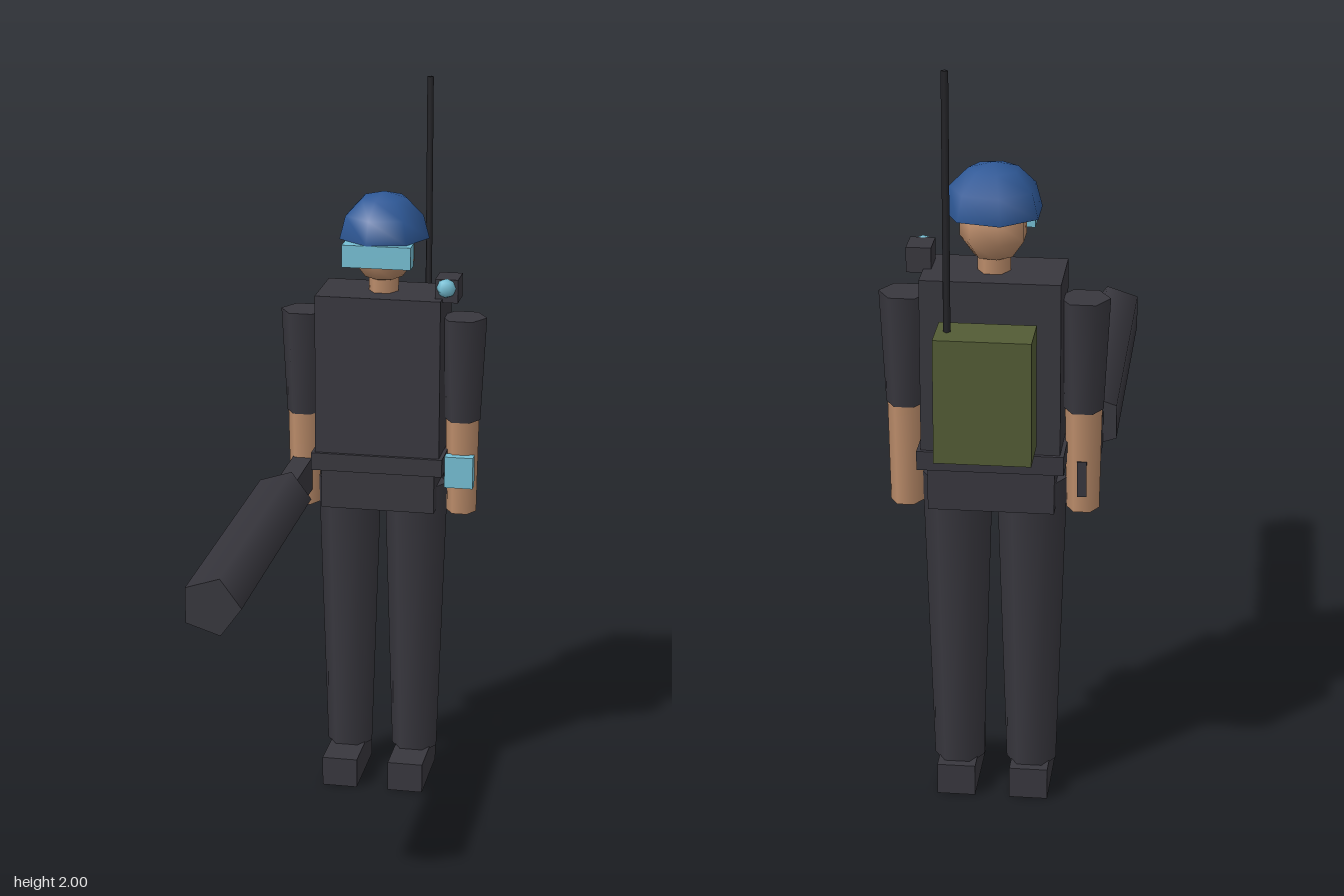
import * as THREE from 'three';

const mat = (name, color, extra = {}) => {
  const m = new THREE.MeshStandardMaterial({ color, ...extra });
  m.name = name;
  return m;
};

export function createModel() {
  const model = new THREE.Group();
  model.name = 'soldier';
  const suit = mat('charcoal suit', 0x38373e);
  const skin = mat('skin', 0xbb8c6a);
  const blue = mat('helmet blue', 0x2e5896, { side: THREE.DoubleSide });
  const cyan = mat('device cyan', 0x76bfd4);
  const olive = mat('pack olive', 0x535c35);
  const black = mat('antenna black', 0x242428);
  const Z = -0.435; // body centre line

  const add = (name, geometry, material, x, y, z) => {
    const mesh = new THREE.Mesh(geometry, material);
    mesh.name = name;
    mesh.position.set(x, y, z);
    model.add(mesh);
    return mesh;
  };
  // box given by its low and high corners
  const box = (name, material, [x0, y0, z0], [x1, y1, z1]) =>
    add(name, new THREE.BoxGeometry(x1 - x0, y1 - y0, z1 - z0), material,
      (x0 + x1) / 2, (y0 + y1) / 2, (z0 + z1) / 2);
  // upright tapered limb with a corner pointing to +x
  const limb = (name, material, x, z, y0, y1, rBottom, rTop, sides = 6) =>
    add(name, new THREE.CylinderGeometry(rTop, rBottom, y1 - y0, sides, 1, false, Math.PI / 2),
      material, x, (y0 + y1) / 2, z);

  // Body
  box('torso', suit, [-0.175, 0.98, -0.535], [0.175, 1.44, -0.335]);
  box('belt', suit, [-0.185, 0.94, -0.545], [0.185, 0.99, -0.325]);
  box('pelvis', suit, [-0.16, 0.825, -0.525], [0.16, 0.945, -0.345]);

  // Limbs, mirrored
  for (const [side, s] of [['left', 1], ['right', -1]]) {
    limb(side + 'Leg', suit, s * 0.095, Z, 0.08, 0.89, 0.065, 0.09);
    box(side + 'Boot', suit, [s * 0.095 - 0.05, 0, -0.515], [s * 0.095 + 0.05, 0.085, -0.275]);
    limb(side + 'UpperArm', suit, s * 0.225, Z, 1.08, 1.375, 0.05, 0.065);
    limb(side + 'Forearm', skin, s * 0.225, Z, 0.81, 1.085, 0.042, 0.047);
  }

  // Head
  limb('neck', skin, 0, Z, 1.43, 1.52, 0.042, 0.042);
  add('head', new THREE.SphereGeometry(0.09, 7, 5, Math.PI), skin, 0, 1.555, Z);
  add('helmet', new THREE.SphereGeometry(0.127, 7, 3, Math.PI, Math.PI * 2, 0, Math.PI / 2),
    blue, 0, 1.592, Z - 0.002);
  box('visor', cyan, [-0.095, 1.53, -0.367], [0.095, 1.592, -0.314]);

  // Shoulder camera and wrist device on the left
  box('shoulderCamera', suit, [0.155, 1.43, -0.45], [0.218, 1.495, -0.368]);
  add('cameraLens', new THREE.SphereGeometry(0.027, 6, 4), cyan, 0.186, 1.472, -0.364);
  box('wristDevice', cyan, [0.185, 0.895, -0.405], [0.265, 0.985, -0.372]);

  // Heavy launcher in the right hand
  const barrel = add('launcherBarrel', new THREE.CylinderGeometry(0.079, 0.079, 0.84, 5, 1, false, Math.PI / 2),
    suit, -0.224, 0.92, 0.285);
  barrel.rotation.x = Math.PI / 2;
  box('launcherStock', suit, [-0.253, 0.855, -0.45], [-0.198, 0.95, -0.13]);
  box('launcherGrip', suit, [-0.237, 0.855, -0.478], [-0.213, 0.95, -0.44]);

  // Backpack radio
  box('backpack', olive, [-0.12, 1.03, -0.705], [0.12, 1.35, -0.578]);
  limb('antenna', black, 0.092, -0.642, 1.34, 2, 0.009, 0.009, 4);

  return model;
}
